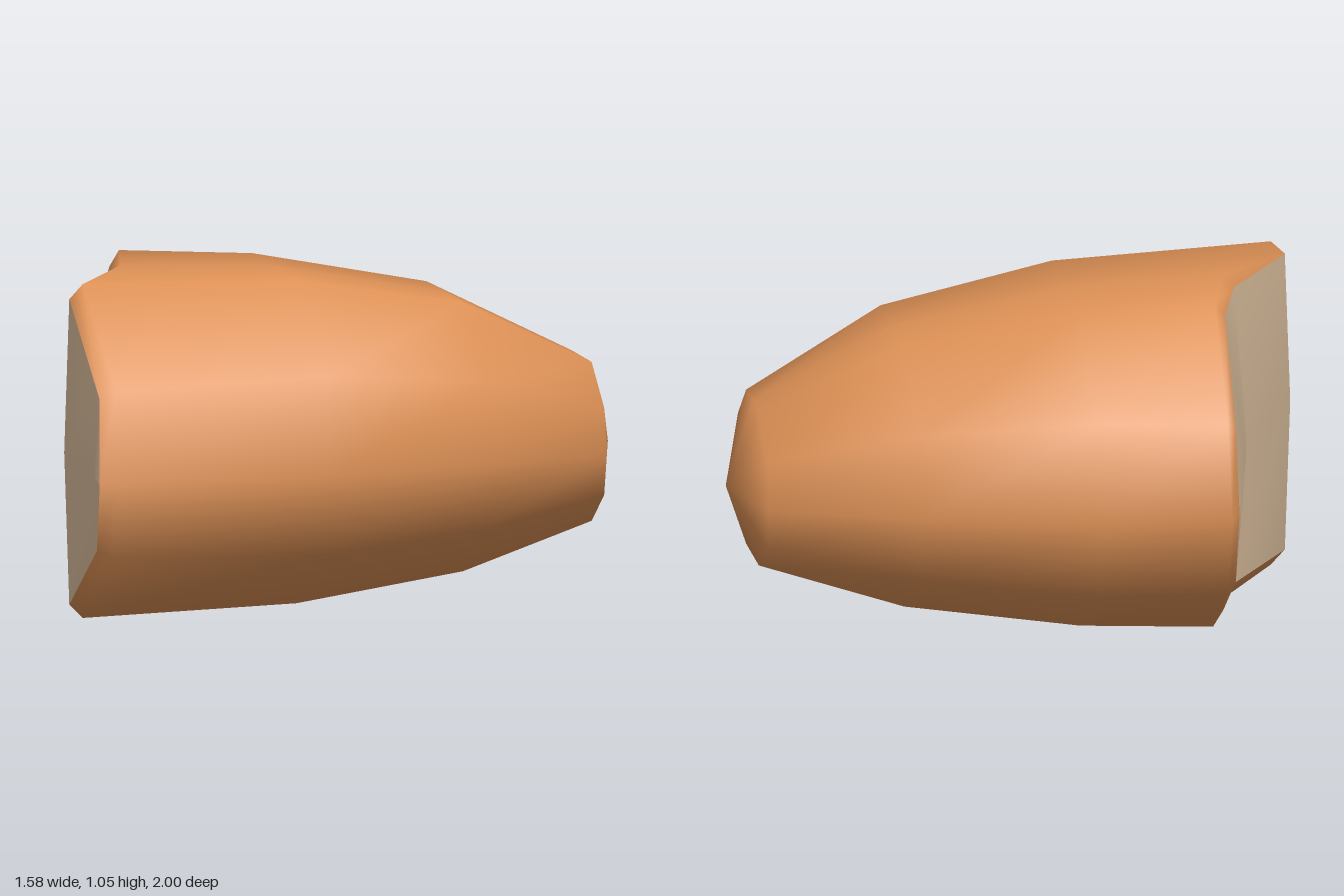
import * as THREE from 'three';

const crustMat = new THREE.MeshStandardMaterial({ color: 0xdc9055 });
crustMat.name = 'orange crust';
const crumbMat = new THREE.MeshStandardMaterial({ color: 0xdfc2a0 });
crumbMat.name = 'cream crumb';

// Uneven front edge, clockwise from the left end over the top
const edge = [
  [-0.79, 0.475, 0.10], [-0.735, 0.765, 0.12], [-0.41, 1.05, 0.28], [-0.17, 1.05, 0.46],
  [0.06, 1.05, 0.79], [0.38, 0.76, 0.91], [0.435, 0.475, 0.95], [0.38, 0.24, 0.92],
  [0.06, 0, 0.79], [-0.17, 0, 0.46], [-0.4, 0, 0.28], [-0.735, 0.22, 0.12],
];

// Twelve-sided section between two end points in plan, with low, middle and high y
function section([x0, z0], [x1, z1], low, mid, high) {
  const across = [0, 0.05, 0.31, 0.5, 0.7, 0.95, 1, 0.95, 0.7, 0.5, 0.31, 0.05];
  const rise = [0, 0.55, 1, 1, 1, 0.55, 0, -0.55, -1, -1, -1, -0.55];
  return across.map((t, i) => [
    x0 + (x1 - x0) * t,
    mid + rise[i] * (rise[i] > 0 ? high - mid : mid - low),
    z0 + (z1 - z0) * t,
  ]);
}

function build(name, points, index, material) {
  const g = new THREE.BufferGeometry();
  g.setAttribute('position', new THREE.Float32BufferAttribute(points.flat(), 3));
  g.setIndex(index);
  g.computeVertexNormals();
  const mesh = new THREE.Mesh(g, material);
  mesh.name = name;
  return mesh;
}

export function createModel() {
  const group = new THREE.Group();
  group.name = 'tornLoaf';

  // Crust: rolled lip, front edge, then sections narrowing to the rounded end
  const lip = edge.map(([x, y, z]) => [-0.18 + (x + 0.18) * 0.955, 0.525 + (y - 0.525) * 0.915, z + 0.045]);
  const rings = [
    lip,
    edge,
    section([-0.62, -0.27], [0.71, 0.32], 0.015, 0.475, 1.03),
    section([-0.26, -0.70], [0.79, -0.25], 0.085, 0.475, 0.93),
    section([0.16, -1.0], [0.72, -0.76], 0.21, 0.44, 0.71),
  ];
  const n = edge.length;
  const points = [...rings.flat(), [0.47, 0.44, -0.96]];
  const index = [];
  for (let r = 0; r < rings.length; r++) {
    for (let j = 0; j < n; j++) {
      const a = r * n + j, b = r * n + (j + 1) % n;
      if (r === rings.length - 1) index.push(a, b, points.length - 1);
      else index.push(a, b, a + n, b, b + n, a + n);
    }
  }
  group.add(build('crust', points, index, crustMat));

  // Crumb: stepped torn face in columns of top, bulged middle and bottom
  const bulge = [0, 0.02, 0.08, 0.05, 0.02, 0.02, 0];
  const face = [];
  for (let c = 0; c <= 6; c++) {
    const top = lip[c], bottom = lip[(n - c) % n];
    const middle = [
      (top[0] + bottom[0]) / 2, (top[1] + bottom[1]) / 2,
      (top[2] + bottom[2]) / 2 + bulge[c],
    ];
    face.push(top, middle, bottom);
  }
  const faceIndex = [];
  for (let c = 0; c < 6; c++) {
    for (let k = 0; k < 2; k++) {
      const a = c * 3 + k, b = a + 3;
      // End columns are single points, so only one triangle remains there
      if (c < 5) faceIndex.push(a + 1, b + 1, b);
      if (c > 0) faceIndex.push(a, a + 1, c < 5 ? b : b + 1);
    }
  }
  group.add(build('crumb', face, faceIndex, crumbMat));
  return group;
}
